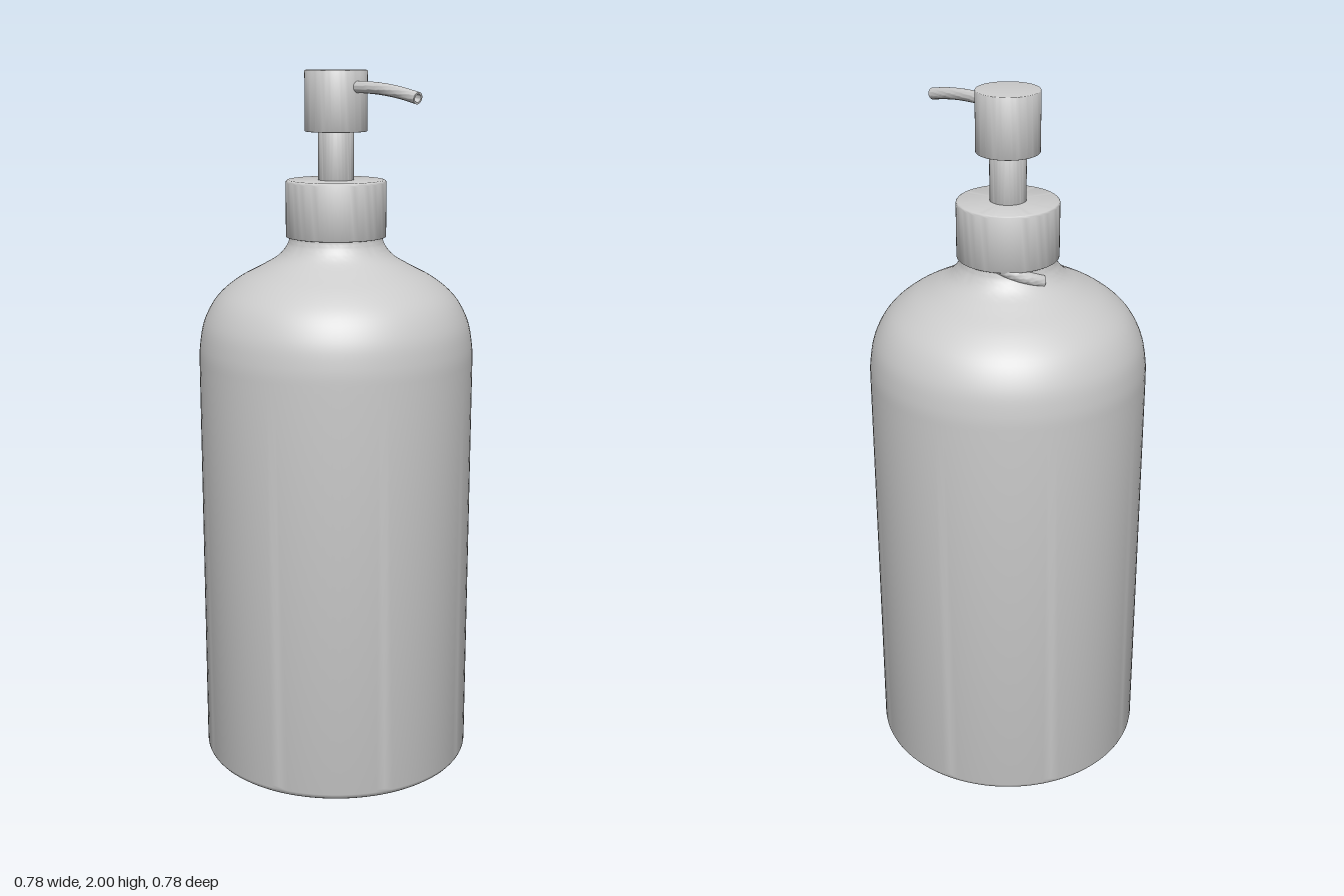
import * as THREE from 'three';
import { toCreasedNormals } from 'three/addons/utils/BufferGeometryUtils.js';

const material = new THREE.MeshStandardMaterial({ color: 0xcccccc });
const v2 = (x, y) => new THREE.Vector2(x, y);

export function createModel() {
  const group = new THREE.Group();

  const add = (name, geometry, crease = 0.6) => {
    const mesh = new THREE.Mesh(toCreasedNormals(geometry, crease), material);
    mesh.name = name;
    group.add(mesh);
    return mesh;
  };

  // Closed turned solid with rounded rims
  const turned = (name, r, y0, y1, bevelBottom, bevelTop) => {
    const pts = [v2(0, y0)];
    const rim = (b, y, dir) => {
      for (let i = 0; i <= 4; i++) {
        const a = (i / 4) * Math.PI / 2;
        const t = dir < 0 ? a : Math.PI / 2 - a;
        pts.push(v2(r - b + b * Math.sin(t), y - dir * b + dir * b * Math.cos(t)));
      }
    };
    rim(bevelBottom, y0, -1);
    rim(bevelTop, y1, 1);
    pts.push(v2(0, y1));
    return add(name, new THREE.LatheGeometry(pts, 64));
  };

  // Bottle: flat base, rounded foot, straight wall, domed shoulder, flared neck
  const profile = [v2(0, 0)];
  for (let i = 0; i <= 6; i++) {
    const a = (i / 6) * Math.PI / 2;
    profile.push(v2(0.36 + 0.03 * Math.sin(a), 0.03 - 0.03 * Math.cos(a)));
  }
  const shoulder = new THREE.SplineCurve([
    v2(0.39, 1.18), v2(0.388, 1.24), v2(0.374, 1.31), v2(0.338, 1.375), v2(0.28, 1.425),
    v2(0.21, 1.463), v2(0.165, 1.49), v2(0.139, 1.52), v2(0.13, 1.55), v2(0.13, 1.6),
  ]);
  profile.push(...shoulder.getPoints(44), v2(0.13, 1.66), v2(0, 1.66));
  add('bottle', new THREE.LatheGeometry(profile, 96));

  // Start of the screw thread, rising from the back of the neck under the collar
  const threadPoints = [];
  for (let i = 0; i <= 12; i++) {
    const a = (i / 12) * 1.2;
    const r = 0.138 - 0.024 * (i / 12);
    threadPoints.push(new THREE.Vector3(r * Math.sin(a), 1.508 + 0.06 * (i / 12), -r * Math.cos(a)));
  }
  const threadPath = new THREE.CatmullRomCurve3(threadPoints);
  const threadSection = new THREE.Shape().absarc(0, 0, 0.018, 0, Math.PI * 2);
  add('neckThread', new THREE.ExtrudeGeometry(threadSection, { steps: 24, curveSegments: 12, extrudePath: threadPath }));

  // Pump
  turned('collar', 0.141, 1.545, 1.703, 0.002, 0.008);
  turned('pumpStem', 0.05, 1.69, 1.85, 0.001, 0.001);
  turned('pumpHead', 0.087, 1.835, 2, 0.002, 0.002);

  // Hollow spout bending down at its tip
  const spoutPath = new THREE.CatmullRomCurve3([
    [1.956, 0.07], [1.955, 0.13], [1.951, 0.19], [1.943, 0.25], [1.931, 0.311],
  ].map(([y, z]) => new THREE.Vector3(0, y, z)));
  const section = new THREE.Shape().absarc(0, 0, 0.016, 0, Math.PI * 2);
  section.holes.push(new THREE.Path().absarc(0, 0, 0.011, 0, Math.PI * 2, true));
  add('spout', new THREE.ExtrudeGeometry(section, { steps: 24, curveSegments: 20, extrudePath: spoutPath }));

  return group;
}
